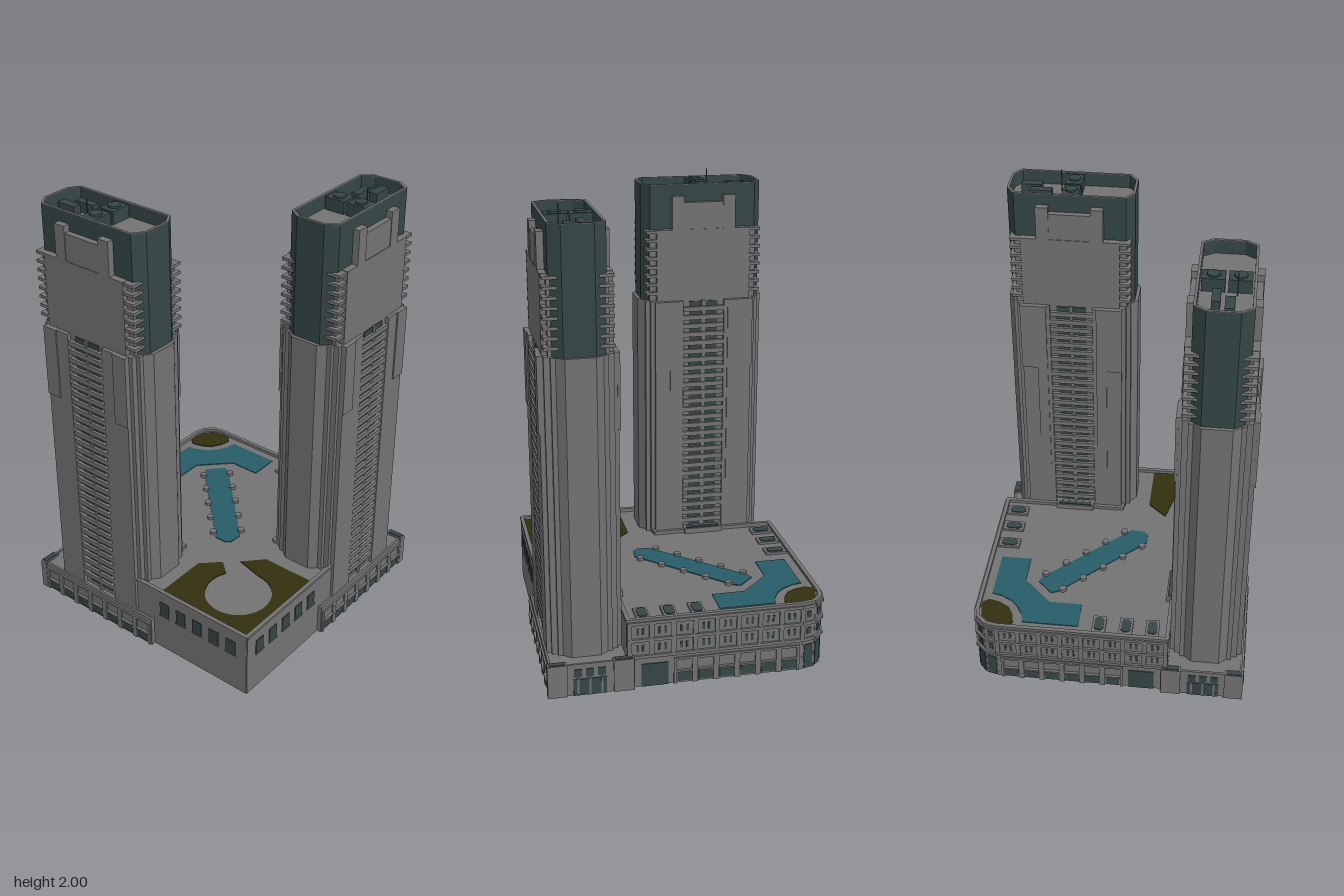
import * as THREE from 'three';

const material = (name, color) =>
  Object.assign(new THREE.MeshStandardMaterial({ color, side: THREE.DoubleSide }), { name });
const concrete = material('concrete grey', 0x737373);
const glass = material('dark slate glass', 0x354646);
const water = material('pool teal', 0x265d67);
const lawn = material('lawn olive', 0x32300f);

function add(parent, name, geometry, mat) {
  const mesh = new THREE.Mesh(geometry, mat);
  mesh.name = name;
  parent.add(mesh);
  return mesh;
}

// Box given by its limits on each axis
function box(parent, name, mat, x0, x1, y0, y1, z0, z1) {
  const size = [x1 - x0, y1 - y0, z1 - z0].map(Math.abs);
  const mesh = add(parent, name, new THREE.BoxGeometry(...size), mat);
  mesh.position.set((x0 + x1) / 2, (y0 + y1) / 2, (z0 + z1) / 2);
  return mesh;
}

// Upright prism over a plan of [x, z] points, with an optional hole
function prism(parent, name, mat, plan, y0, y1, hole) {
  const toV = (pts) => pts.map(([x, z]) => new THREE.Vector2(x, -z));
  const shape = new THREE.Shape(toV(plan));
  if (hole) shape.holes.push(new THREE.Path(toV(hole)));
  const geo = new THREE.ExtrudeGeometry(shape, { depth: y1 - y0, bevelEnabled: false });
  geo.rotateX(-Math.PI / 2).translate(0, y0, 0);
  return add(parent, name, geo, mat);
}

// Straight wall between two plan points
function wall(parent, name, mat, [ax, az], [bx, bz], y0, y1, t) {
  const len = Math.hypot(bx - ax, bz - az);
  const mesh = add(parent, name, new THREE.BoxGeometry(len + t * 0.5, y1 - y0, t), mat);
  mesh.position.set((ax + bx) / 2, (y0 + y1) / 2, (az + bz) / 2);
  mesh.rotation.y = Math.atan2(az - bz, bx - ax);
}

// Plan mirrored in both axes from one quadrant
function fourWay(q) {
  const m = (sx, sz) => q.map(([x, z]) => [x * sx, z * sz]);
  return [...m(1, 1), ...m(1, -1).reverse(), ...m(-1, -1), ...m(-1, 1).reverse()];
}

function createTower(s) {
  const t = new THREE.Group();
  t.name = 'tower';
  // Shaft with a recessed window column on both wide faces
  const shaft = fourWay([[0.095, 0.142], [0.095, 0.16], [0.225, 0.16], [0.225, 0.14], [0.243, 0.14],
    [0.243, 0.115], [0.262, 0.115], [0.262, 0.095], [0.29, 0.062]]);
  prism(t, 'shaft', concrete, shaft, 0.14, 1.435);
  for (const f of [1, -1]) {
    box(t, 'windowColumn', glass, -0.066, 0.066, 0.16, 1.43, f * 0.14, f * 0.146);
    box(t, 'mullion', concrete, -0.008, 0.008, 0.14, 1.435, f * 0.14, f * 0.152);
    for (let i = 0; i < 31; i++) {
      const y = 0.185 + i * 0.04;
      box(t, 'floorSlab', concrete, -0.094, 0.094, y, y + 0.021, f * 0.14, f * 0.158);
    }
    // Raised wall panels, stepping lower on the inner face
    for (const m of [1, -1]) {
      box(t, 'upperPanel', concrete, m * 0.158, m * 0.228, 1.11, 1.435, f * 0.155, f * 0.166);
      if (f < 0) box(t, 'tallPanel', concrete, m * 0.112, m * 0.158, 0.55, 1.435, f * 0.155, f * 0.166);
      box(t, 'crownPier', concrete, m * 0.09, m * 0.145, 1.76, 1.91, f * 0.11, f * 0.144);
    }
  }
  // Stepped crown: grey centre, dark glazed core and balcony fins
  box(t, 'crownFront', concrete, -0.215, 0.215, 1.435, 1.76, -0.144, 0.144);
  box(t, 'crownCentre', concrete, -0.145, 0.145, 1.76, 1.88, -0.141, 0.141);
  box(t, 'crownEnds', concrete, -0.245, 0.245, 1.435, 1.745, -0.122, 0.122);
  for (let i = 0; i < 8; i++) {
    const y = 1.465 + i * 0.04;
    box(t, 'balconyFin', concrete, -0.263, 0.263, y, y + 0.013, -0.141, 0.141);
  }
  const core = fourWay([[0.275, 0.065], [0.24, 0.115]].reverse());
  const inner = fourWay([[0.264, 0.06], [0.234, 0.104]].reverse());
  prism(t, 'glazedCore', glass, core, 1.435, 1.88);
  prism(t, 'glazedParapet', glass, core, 1.88, 1.957, inner);
  prism(t, 'parapetCap', concrete, core, 1.957, 1.96, inner);
  prism(t, 'towerRoof', concrete, inner, 1.88, 1.9);
  // Roof plant
  for (const z of [-0.052, 0.052]) {
    box(t, 'coolingUnit', glass, -0.036, 0.036, 1.88, 1.955, z - 0.046, z + 0.046);
    const fan = add(t, 'coolingFan', new THREE.CylinderGeometry(0.026, 0.026, 0.008, 16), glass);
    fan.position.set(0, 1.959, z);
  }
  box(t, 'plantRoom', glass, s * 0.085, s * 0.18, 1.89, 1.945, -0.052, -0.018);
  box(t, 'plantRoom', glass, s * 0.135, s * 0.225, 1.89, 1.945, 0, 0.038);
  box(t, 'mast', glass, s * 0.053, s * 0.057, 1.89, 2, 0.041, 0.045);
  // Porch onto the roof garden
  box(t, 'gardenPorch', concrete, -0.09, 0.09, 0.3, 0.325, -0.192, -0.15);
  box(t, 'gardenPorchTop', glass, -0.08, 0.08, 0.325, 0.33, -0.186, -0.168);
  t.position.set(s * 0.255, 0, 0.437);
  return t;
}

// One tower with its street facades; s = -1 gives the mirror image
function createWing(s) {
  const g = new THREE.Group();
  g.name = s > 0 ? 'frontWing' : 'leftWing';
  g.add(createTower(s));
  const part = (name, mat, x0, x1, ...rest) => box(g, name, mat, s * x0, s * x1, ...rest);
  // u runs along the facade, d is the depth outward
  const on = (face, name, mat, u0, u1, y0, y1, d0, d1) => face === 'front'
    ? part(name, mat, u0, u1, y0, y1, d0, d1) : part(name, mat, d0, d1, y0, y1, u0, u1);

  function shopBay(face, u, d) {
    for (const m of [-1, 1]) on(face, 'shopPier', concrete, u + m * 0.034, u + m * 0.046, 0, 0.12, d, d + 0.007);
    on(face, 'shopGlass', glass, u - 0.03, u + 0.03, 0.008, 0.054, d, d + 0.004);
    on(face, 'shopAwning', concrete, u - 0.034, u + 0.034, 0.054, 0.062, d, d + 0.012);
    on(face, 'shopLintel', concrete, u - 0.046, u + 0.046, 0.11, 0.12, d, d + 0.008);
  }

  // Low tower base with corner pavilions
  part('baseRoof', concrete, -0.06, 0.61, 0.13, 0.138, 0.25, 0.605);
  part('baseFront', concrete, -0.06, 0.612, 0, 0.143, 0.595, 0.605);
  part('baseEnd', concrete, -0.066, -0.056, 0, 0.143, 0.575, 0.605);
  part('baseSide', concrete, 0.6, 0.61, 0, 0.143, 0.25, 0.605);
  part('baseReturn', concrete, 0.585, 0.61, 0, 0.143, 0.245, 0.255);
  for (let i = 0; i < 7; i++) shopBay('front', -0.014 + i * 0.092, 0.605);
  for (const [a, b] of [[0.248, 0.335], [0.53, 0.613]]) {
    part('pavilionPier', concrete, 0.585, 0.618, 0, 0.146, a, b);
    part('pavilionTop', glass, 0.59, 0.614, 0.146, 0.15, a + 0.008, b - 0.008);
  }
  part('lobbyGlass', glass, 0.61, 0.614, 0, 0.075, 0.365, 0.505);
  for (const z of [0.385, 0.435, 0.485]) {
    part('lobbyWindow', glass, 0.61, 0.614, 0.085, 0.12, z - 0.017, z + 0.017);
    part('lobbyPost', concrete, 0.61, 0.617, 0, 0.08, z - 0.004, z + 0.004);
  }

  // Windows in the plain street wall
  for (let i = 0; i < 5; i++) {
    const x = -0.5 + i * 0.0925;
    part('wallWindow', glass, x - 0.025, x + 0.025, 0.19, 0.257, 0.584, 0.59);
    part('windowSill', concrete, x - 0.028, x + 0.028, 0.184, 0.19, 0.584, 0.593);
  }

  // Long street facade: entrance, shops, and two storeys of framed windows
  part('entranceGlass', glass, 0.594, 0.6, 0, 0.105, 0.1, 0.215);
  for (let i = 0; i < 6; i++) shopBay('side', 0.03 - i * 0.092, 0.596);
  for (const y of [0.135, 0.212, 0.29]) {
    part('storeyBand', concrete, 0.594, 0.606, y, y + 0.014, -0.49, 0.27);
  }
  for (let i = 0; i < 9; i++) {
    const z = 0.265 - i * 0.094;
    part('facadePier', concrete, 0.594, 0.604, 0.14, 0.3, z - 0.01, z + 0.01);
    if (i === 8) break;
    for (const y of [0.165, 0.242]) {
      for (const m of [-0.012, 0.012]) {
        part('facadeWindow', glass, 0.594, 0.599, y, y + 0.03, z - 0.047 + m - 0.005, z - 0.047 + m + 0.005);
      }
    }
  }

  // Skylights beside the street edge
  for (const z of [0.2, 0.083, -0.037]) {
    part('skylightFrame', concrete, 0.478, 0.577, 0.295, 0.309, z - 0.03, z + 0.03);
    const c = 0.527 * s;
    const pane = [[-0.037, -0.012], [-0.025, -0.021], [0.025, -0.021], [0.037, -0.012],
      [0.037, 0.012], [0.025, 0.021], [-0.025, 0.021], [-0.037, 0.012]];
    prism(g, 'skylightPane', glass, pane.map(([x, dz]) => [c + x, z + dz]), 0.309, 0.313);
  }
  if (s < 0) g.rotation.y = -Math.PI / 2;
  return g;
}

function createPodium() {
  const p = new THREE.Group();
  p.name = 'podium';
  const corner = [[0.59, -0.49], [0.578, -0.542], [0.542, -0.578], [0.49, -0.59]];
  const plan = [[-0.58, 0.58], [0.025, 0.58], [0.025, 0.27], [0.59, 0.27], ...corner,
    [-0.27, -0.59], [-0.27, -0.025], [-0.58, -0.025]];
  // Hollow shell: walls, parapet rim and roof deck
  plan.forEach((a, i) => {
    const b = plan[(i + 1) % plan.length];
    wall(p, 'podiumWall', concrete, a, b, 0, 0.312, 0.012);
    wall(p, 'parapetRim', concrete, a, b, 0.304, 0.316, 0.018);
  });
  prism(p, 'roofDeck', concrete, plan, 0.29, 0.298);
  // Rounded street corner
  for (let i = 0; i < 3; i++) {
    const [a, b] = [corner[i], corner[i + 1]];
    const mix = (k) => [a[0] + (b[0] - a[0]) * k, a[1] + (b[1] - a[1]) * k];
    for (const y of [0.135, 0.212, 0.29]) wall(p, 'cornerBand', concrete, a, b, y, y + 0.014, 0.032);
    wall(p, 'cornerShopGlass', glass, mix(0.2), mix(0.8), 0.005, 0.115, 0.019);
    for (const y of [0.165, 0.242]) wall(p, 'cornerWindow', glass, mix(0.4), mix(0.6), y, y + 0.03, 0.019);
  }

  // Pools and lawns, set through the deck
  const inset = (name, mat, pts) => prism(p, name, mat, pts, 0.287, 0.302);
  inset('cornerPool', water, [[0.13, -0.545], [0.38, -0.545], [0.39, -0.5], [0.418, -0.45], [0.45, -0.418],
    [0.5, -0.39], [0.545, -0.38], [0.545, -0.135], [0.408, -0.135], [0.408, -0.278], [0.278, -0.408], [0.13, -0.408]]);
  inset('diagonalPool', water, [[-0.12, 0.04], [0.25, -0.335], [0.28, -0.348], [0.348, -0.28],
    [0.335, -0.25], [-0.04, 0.12], [-0.1, 0.115], [-0.12, 0.095]]);
  inset('cornerLawn', lawn, [[0.42, -0.55], [0.44, -0.578], [0.49, -0.58], [0.535, -0.565], [0.565, -0.535],
    [0.58, -0.49], [0.578, -0.44], [0.55, -0.42], [0.5, -0.432], [0.455, -0.46], [0.432, -0.5]]);
  const arc = [];
  for (let i = 0; i <= 30; i++) {
    const a = -Math.PI / 3 - (i / 30) * (11 * Math.PI / 6 - Math.PI / 3 + Math.PI / 3 - Math.PI / 6);
    arc.push([-0.368 + 0.147 * Math.cos(a), 0.368 + 0.147 * Math.sin(a)]);
  }
  inset('ringLawn', lawn, [[-0.57, 0.1], [-0.32, 0.1], [-0.242, 0.18], ...arc,
    [-0.19, 0.24], [-0.105, 0.32], [-0.105, 0.57], [-0.57, 0.57]]);

  // Round bollards along the diagonal pool
  for (let i = 0; i < 5; i++) {
    const [x, z] = [0.23 - i * 0.0825, -0.322 + i * 0.0825];
    for (const [px, pz] of [[x, z], [-z, -x]]) {
      const post = add(p, 'poolBollard', new THREE.CylinderGeometry(0.016, 0.016, 0.016, 16), concrete);
      post.position.set(px, 0.304, pz);
    }
  }
  return p;
}

export function createModel() {
  const model = new THREE.Group();
  model.name = 'twinTowerComplex';
  model.add(createPodium(), createWing(1), createWing(-1));
  return model;
}
